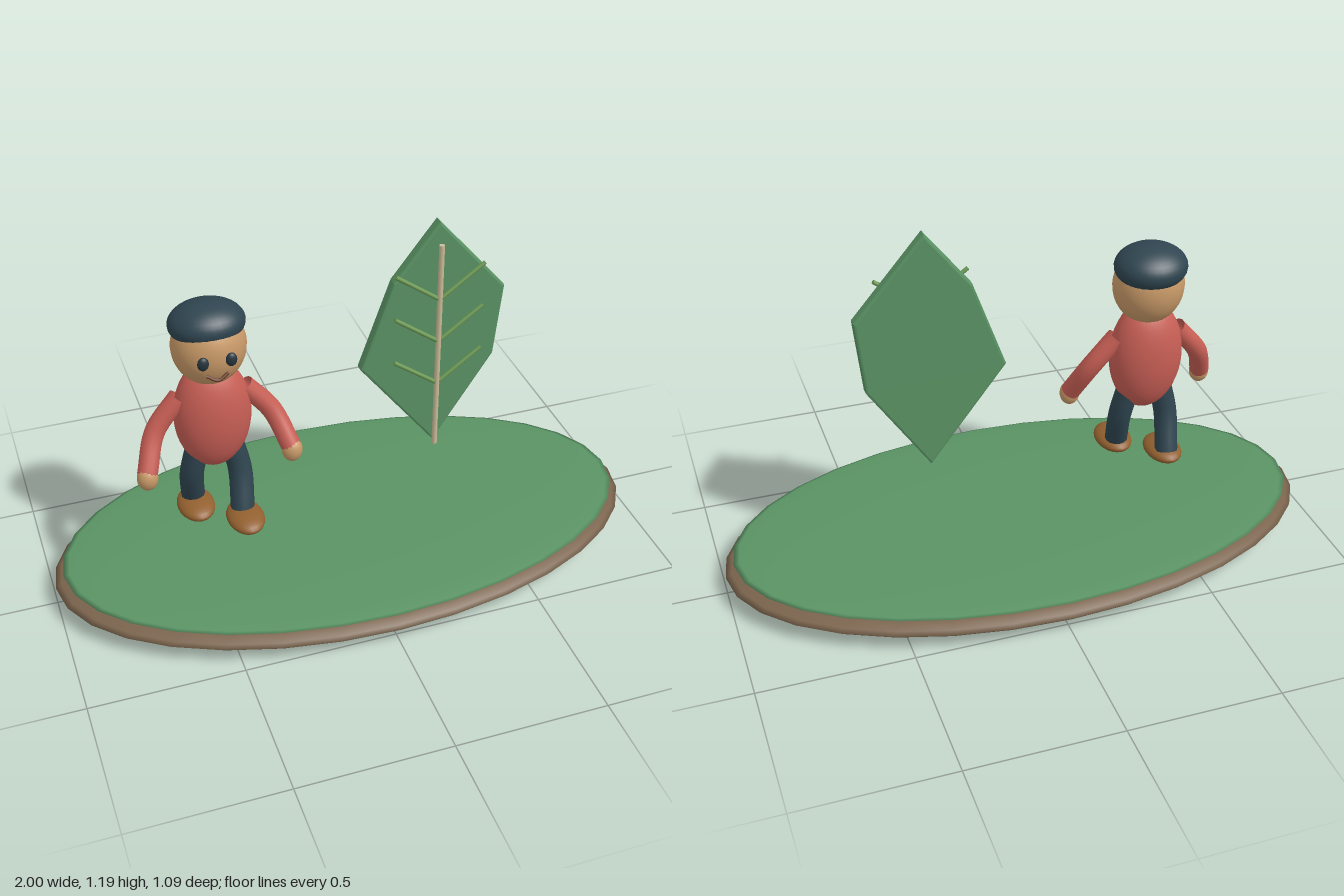
import * as THREE from 'three';

const material = (color) => new THREE.MeshStandardMaterial({ color, side: THREE.DoubleSide });
const mats = {
  grass: material(0x5a9364), soil: material(0x7a634c), leaf: material(0x5a9364),
  rib: material(0xcbbb98), vein: material(0x6d9a55), skin: material(0xc99a68),
  shirt: material(0xc85f55), cloth: material(0x2f4550), shoe: material(0x92602f),
  eye: material(0x26343e), mouth: material(0x6b3a26),
};

function mesh(name, geometry, mat, parent) {
  const m = new THREE.Mesh(geometry, mat);
  m.name = name;
  parent.add(m);
  return m;
}

// Ellipsoid with the given centre and radii
function ellipsoid(name, centre, radii, mat, parent, w = 32, h = 20) {
  const m = mesh(name, new THREE.SphereGeometry(1, w, h), mat, parent);
  m.position.set(...centre);
  m.scale.set(...radii);
  return m;
}

// Round tube through a few points
function tube(name, points, radius, mat, parent) {
  const curve = new THREE.CatmullRomCurve3(points.map((p) => new THREE.Vector3(...p)));
  return mesh(name, new THREE.TubeGeometry(curve, 20, radius, 14, false), mat, parent);
}

// Straight rod between two points
function rod(name, a, b, radius, mat, parent) {
  const from = new THREE.Vector3(...a), to = new THREE.Vector3(...b);
  const dir = to.clone().sub(from);
  const m = mesh(name, new THREE.CylinderGeometry(radius, radius, dir.length(), 10), mat, parent);
  m.position.copy(from).add(to).multiplyScalar(0.5);
  m.quaternion.setFromUnitVectors(new THREE.Vector3(0, 1, 0), dir.normalize());
  return m;
}

function createGround() {
  const g = new THREE.Group();
  g.name = 'ground';
  ellipsoid('soil', [0, 0.06, 0], [1, 0.06, 0.545], mats.soil, g, 32, 16);
  ellipsoid('grass', [0, 0.105, 0], [0.97, 0.018, 0.525], mats.grass, g, 32, 16);
  return g;
}

function createFigure() {
  const g = new THREE.Group();
  g.name = 'figure';
  ellipsoid('torso', [0, 0.64, 0], [0.125, 0.197, 0.09], mats.shirt, g);

  // Head, cap and face
  ellipsoid('head', [0, 0.895, 0.002], [0.118, 0.13, 0.109], mats.skin, g);
  const cap = ellipsoid('cap', [0, 0.968, -0.01], [0.121, 0.07, 0.107], mats.cloth, g);
  cap.rotation.x = -0.1;
  tube('mouth', [[-0.034, 0.844, 0.1], [0, 0.828, 0.108], [0.034, 0.844, 0.1]], 0.005, mats.mouth, g);

  for (const [side, s] of [['left', 1], ['right', -1]]) {
    ellipsoid(side + 'Eye', [s * 0.044, 0.894, 0.107], [0.018, 0.023, 0.012], mats.eye, g, 16, 12);

    // Arm reaching out and forward
    tube(side + 'Arm', [[s * 0.105, 0.72, 0], [s * 0.19, 0.615, 0.012], [s * 0.235, 0.5, 0.07]],
      0.033, mats.shirt, g);
    ellipsoid(side + 'Hand', [s * 0.236, 0.49, 0.075], [0.034, 0.042, 0.031], mats.skin, g, 20, 14);

    // Walking legs: left foot ahead, right foot behind
    tube(side + 'Leg', [[s * 0.055, 0.52, 0], [s * 0.076, 0.41, s * 0.015], [s * 0.068, 0.28, s * 0.06]],
      0.039, mats.cloth, g);
    ellipsoid(side + 'Shoe', [s * 0.068, 0.268, s > 0 ? 0.09 : -0.027], [0.061, 0.029, 0.09], mats.shoe, g, 24, 14);
  }
  g.position.x = -0.443;
  return g;
}

function createLeaf() {
  const g = new THREE.Group();
  g.name = 'leaf';

  // Blade: six-sided slab with a small bevel kept inside the outline
  const bevel = 0.008;
  const outline = [[0, 1.192], [-0.15, 1], [-0.257, 0.7], [0, 0.369], [0.203, 0.674], [0.23, 0.925]];
  const shape = new THREE.Shape(outline.map(([x, y]) => new THREE.Vector2(x, y)));
  const blade = new THREE.ExtrudeGeometry(shape, {
    depth: 0.024, bevelEnabled: true, bevelThickness: bevel, bevelSize: bevel,
    bevelOffset: -bevel, bevelSegments: 2,
  });
  blade.translate(0, 0, -0.012);
  mesh('blade', blade, mats.leaf, g);

  // Midrib with three pairs of veins
  rod('midrib', [0, 0.367, 0.035], [0, 1.12, 0.035], 0.009, mats.rib, g);
  for (const y of [0.61, 0.77, 0.925]) {
    for (const s of [-1, 1]) {
      rod('vein', [0, y, 0.034], [s * 0.15, y + 0.108, 0.034], 0.007, mats.vein, g);
    }
  }
  g.position.x = 0.302;
  return g;
}

export function createModel() {
  const model = new THREE.Group();
  model.name = 'figureAndLeaf';
  model.add(createGround(), createFigure(), createLeaf());
  return model;
}
